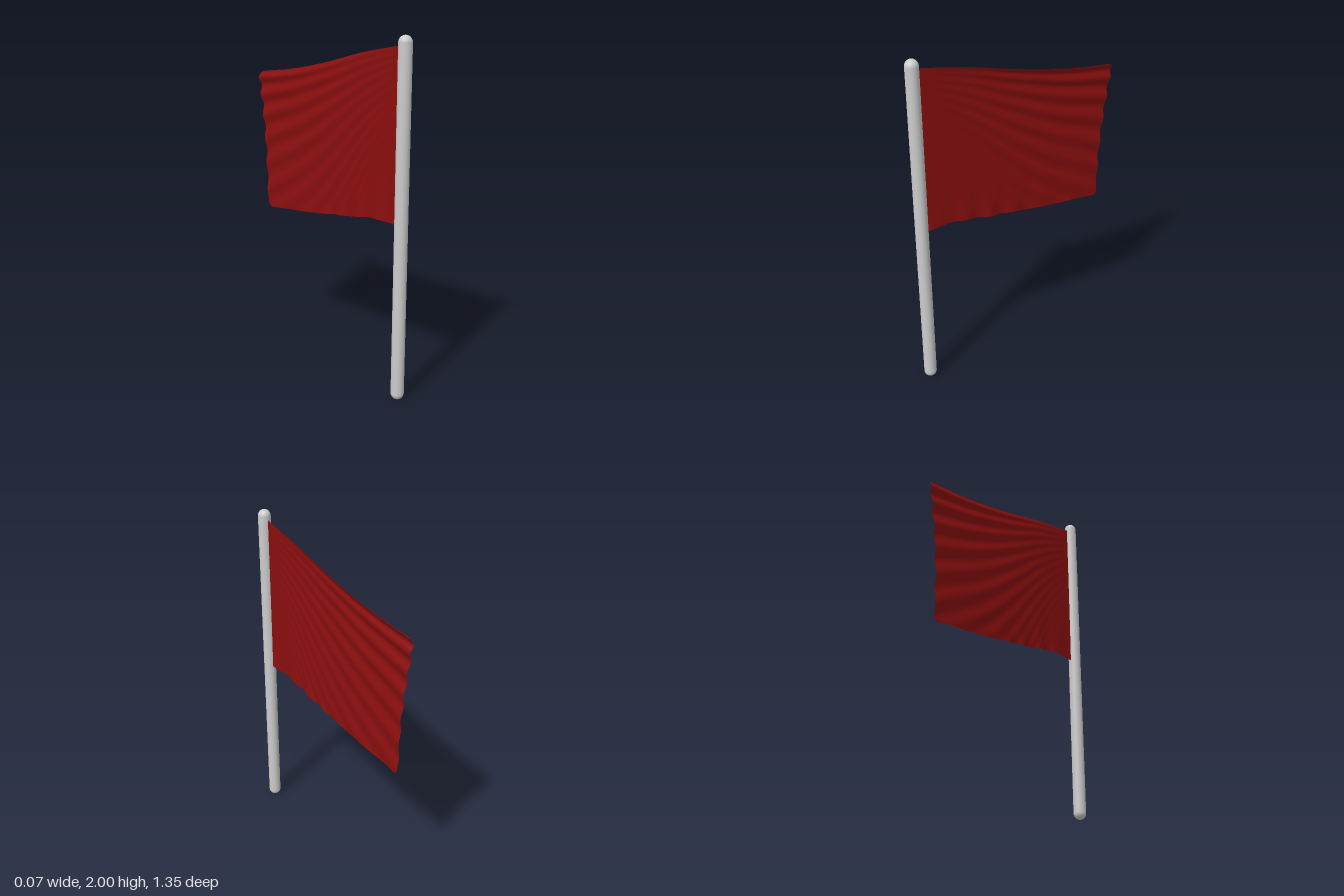
import * as THREE from 'three';

const vec = ([z, y]) => new THREE.Vector2(z, y);

// Sideways billow: folds fan out from the upper hoist corner and grow toward the fly
function billow(u, v) {
  const fan = (1 - v) / (0.8 * u + 0.2);
  const wave = Math.sin(2 * Math.PI * Math.pow(fan, 0.75) / 0.16 + 0.6);
  const folds = wave * 0.009 * Math.pow(u, 1.1) * (0.45 + 0.55 * v);
  const bow = 0.005 * Math.sin(Math.PI * u);
  const topCurl = 0.012 * Math.sin(Math.PI * Math.min(1, u * 0.85)) * Math.exp(-(1 - v) * 30);
  const hemRipple = 0.006 * Math.sin(u * 38) * Math.sin(Math.PI * Math.sqrt(u)) * Math.exp(-v * 9);
  return folds + bow + topCurl + hemRipple;
}

function flagGeometry() {
  // Upper and lower edges as (z, y), hoist to fly
  const top = new THREE.SplineCurve([[0.62, 1.948], [0.3, 1.885], [-0.02, 1.803], [-0.35, 1.733], [-0.675, 1.69]].map(vec));
  const bottom = new THREE.SplineCurve([[0.62, 0.998], [0.45, 0.998], [0.32, 0.98], [0.2, 0.955], [0.08, 0.938],
    [-0.06, 0.912], [-0.23, 0.885], [-0.42, 0.861], [-0.598, 0.84]].map(vec));
  const geo = new THREE.PlaneGeometry(1, 1, 100, 90);
  const pos = geo.attributes.position;
  const r = 0.035; // rounding of the fly corners
  for (let i = 0; i < pos.count; i++) {
    const u = pos.getX(i) + 0.5, v = pos.getY(i) + 0.5;
    const p = bottom.getPoint(u).lerp(top.getPoint(u), v);
    const d = Math.max(0, 1 - Math.min(v, 1 - v) / r);
    const corner = 0.03 * (1 - Math.sqrt(1 - d * d)) * Math.pow(u, 12);
    const flyInset = 0.022 * Math.sin(Math.PI * v) * u * u;
    pos.setXYZ(i, billow(u, v), p.y, p.x + flyInset + corner);
  }
  geo.computeVertexNormals();
  return geo;
}

export function createModel() {
  const group = new THREE.Group();

  // Round-ended pole
  const pole = new THREE.Mesh(
    new THREE.CapsuleGeometry(0.037, 1.926, 8, 32),
    new THREE.MeshStandardMaterial({ color: 0xcccccc })
  );
  pole.name = 'pole';
  pole.position.set(0, 1, 0.639);

  // Cloth
  const flag = new THREE.Mesh(
    flagGeometry(),
    new THREE.MeshStandardMaterial({ color: 0x8c0f0f, side: THREE.DoubleSide })
  );
  flag.name = 'flag';

  group.add(pole, flag);
  return group;
}
